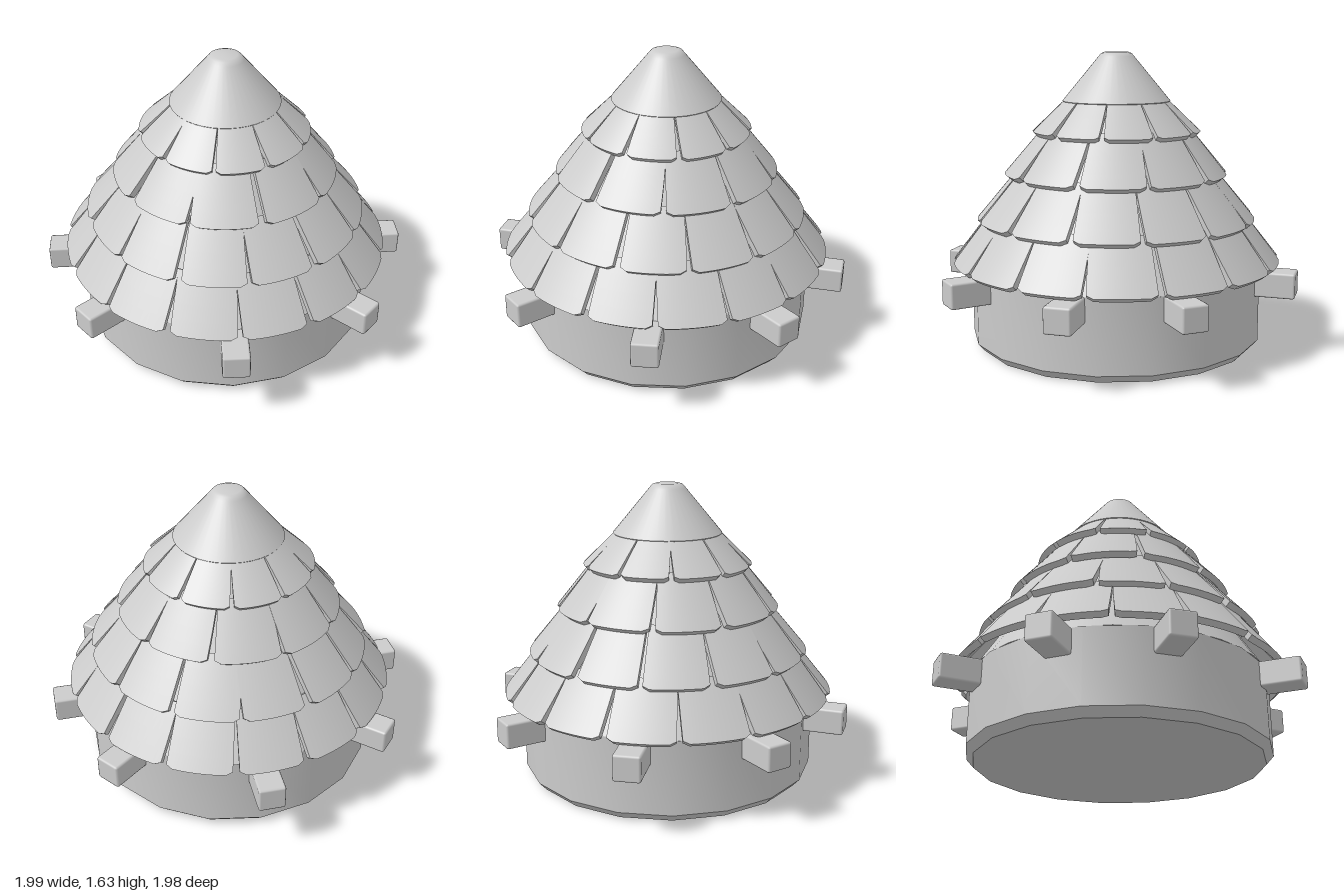
import * as THREE from 'three';
import { toCreasedNormals } from 'three/addons/utils/BufferGeometryUtils.js';
import { RoundedBoxGeometry } from 'three/addons/geometries/RoundedBoxGeometry.js';

const material = new THREE.MeshStandardMaterial({ color: 0xcccccc });
const rad = THREE.MathUtils.degToRad;

function mesh(name, geometry, parent) {
  const m = new THREE.Mesh(geometry, material);
  m.name = name;
  parent.add(m);
  return m;
}

// Profile of [radius, height] pairs from bottom to top, turned about y
function turned(profile, sides, crease) {
  const points = profile.map(([r, y]) => new THREE.Vector2(r, y));
  return toCreasedNormals(new THREE.LatheGeometry(points, sides), crease);
}

// Small seeded generator giving -1..1
let seed = 7;
function jitter() {
  seed = (seed * 16807) % 2147483647;
  return (seed / 2147483647) * 2 - 1;
}

// Slab bent around the cone between [radius, height] at its lower and upper edge
function tileGeometry([r0, y0], [r1, y1], angle, width, skew, lift) {
  const geometry = new THREE.BoxGeometry(1, 1, 1, 10, 4, 1);
  const p = geometry.attributes.position;
  const length = Math.hypot(r1 - r0, y1 - y0);
  const nr = (y1 - y0) / length, ny = (r0 - r1) / length;
  for (let i = 0; i < p.count; i++) {
    const x = p.getX(i);
    let t = p.getY(i) + 0.5;
    if (Math.abs(x) > 0.49) t += 0.05 * (1 - t); // softened lower corners
    const depth = (p.getZ(i) - 0.5) * 0.036 + lift * (1 - t);
    const a = angle + x * width * (1 + 0.1 * t) + skew * t;
    const r = r0 + (r1 - r0) * t + nr * depth;
    p.setXYZ(i, r * Math.sin(a), y0 + (y1 - y0) * t + ny * depth, r * Math.cos(a));
  }
  geometry.computeVertexNormals();
  return geometry;
}

export function createModel() {
  const model = new THREE.Group();
  model.name = 'tiledRoofTower';

  // Round wall with a chamfered foot
  mesh('wall', turned([[0, 0], [0.785, 0], [0.825, 0.045], [0.825, 0.45], [0, 0.45]], 18, 0.5), model);

  // Four crossing beams, their ends sticking out below the eaves
  const beams = new THREE.Group();
  beams.name = 'beams';
  model.add(beams);
  for (const angle of [19, 63, 110, 161]) {
    const beam = mesh('beam', new RoundedBoxGeometry(2.06, 0.14, 0.145, 1, 0.012), beams);
    beam.position.y = 0.382;
    beam.rotation.y = -rad(angle);
  }

  // Cone under the tiles
  mesh('roofCore', turned([[0, 0.44], [0.82, 0.45], [0.24, 1.37], [0, 1.37]], 36, 0.6), model);

  // Overlapping rows of tiles
  const rows = [
    { count: 15, start: 89.5, low: [0.925, 0.475], high: [0.715, 0.745] },
    { count: 13, start: 0, low: [0.785, 0.71], high: [0.56, 0.98] },
    { count: 10, start: 85, low: [0.625, 0.96], high: [0.41, 1.22] },
    { count: 10, start: 95, low: [0.47, 1.195], high: [0.27, 1.39] },
  ];
  rows.forEach(({ count, start, low, high }, n) => {
    const row = new THREE.Group();
    row.name = 'tileRow' + (n + 1);
    model.add(row);
    const step = (Math.PI * 2) / count;
    for (let i = 0; i < count; i++) {
      const angle = rad(start) + i * step + jitter() * 0.02 * step;
      const width = step * (0.91 + 0.02 * jitter());
      const lift = 0.006 * jitter();
      mesh('tile', tileGeometry(low, high, angle, width, jitter() * 0.04 * step, lift), row);
    }
  });

  // Smooth cap on the peak
  const cap = [[0, 1.355], [0.295, 1.355], [0.303, 1.365], [0.1, 1.61], [0.085, 1.628], [0.065, 1.635], [0, 1.635]];
  mesh('cap', turned(cap, 40, 0.6), model);

  return model;
}
